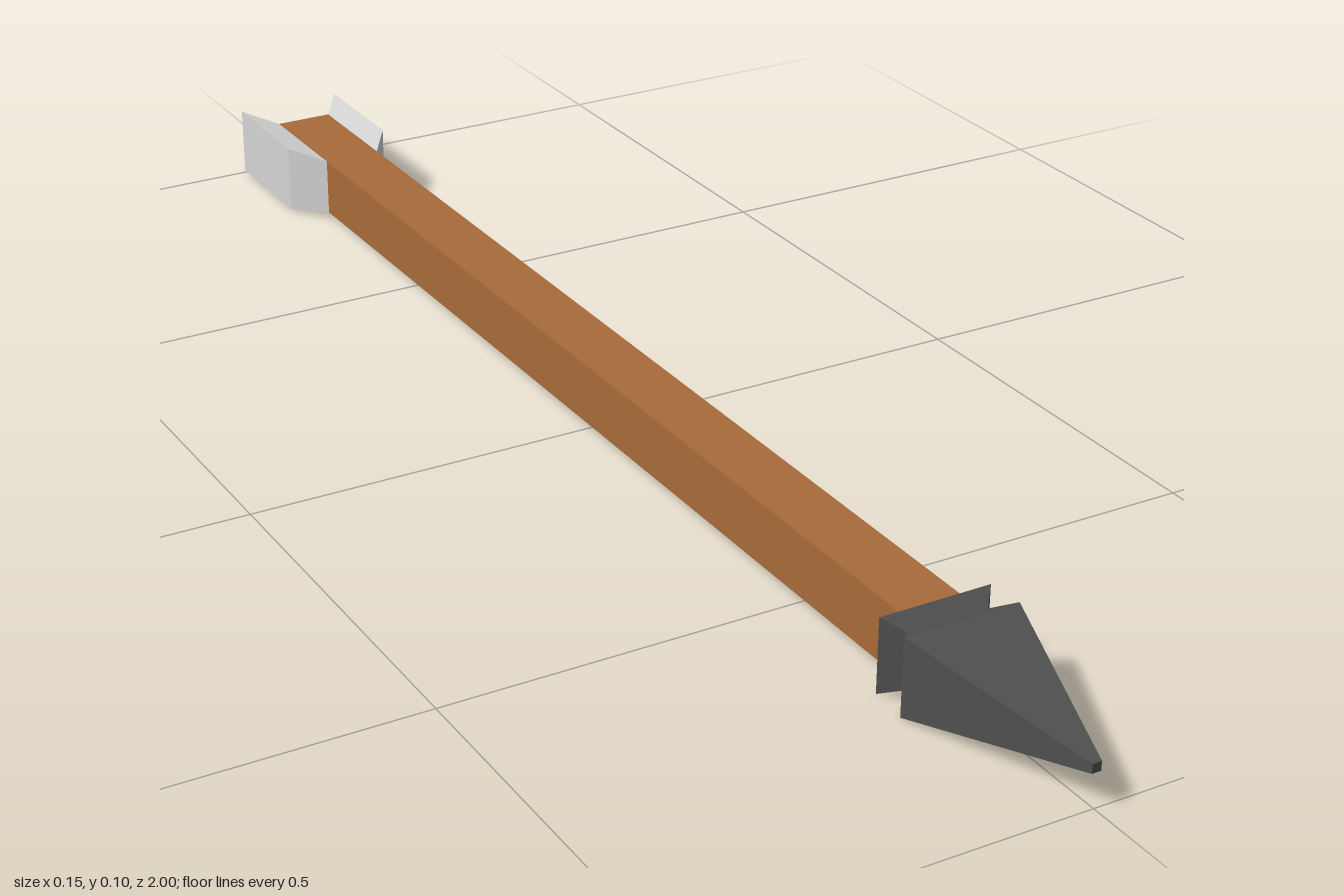
import * as THREE from 'three';

const MID = 0.05; // height of the arrow's axis

// Closed loft through rectangles [z, halfWidth, halfHeight], listed back to front
function rectLoft(sections) {
  const pos = [];
  const rings = sections.map(([z, w, h]) => [[-w, -h, z], [w, -h, z], [w, h, z], [-w, h, z]]);
  const quad = (a, b, c, d) => pos.push(...a, ...b, ...c, ...a, ...c, ...d);
  for (let i = 0; i < rings.length - 1; i++) {
    for (let k = 0; k < 4; k++) {
      const n = (k + 1) % 4;
      quad(rings[i][k], rings[i][n], rings[i + 1][n], rings[i + 1][k]);
    }
  }
  const back = rings[0], front = rings[rings.length - 1];
  quad(back[3], back[2], back[1], back[0]);
  quad(front[0], front[1], front[2], front[3]);
  const g = new THREE.BufferGeometry();
  g.setAttribute('position', new THREE.Float32BufferAttribute(pos, 3));
  g.computeVertexNormals();
  return g;
}

// Swept-back vane: an extruded outline that grows taller away from the shaft
function vaneGeometry(side) {
  const inner = 0.04, outer = 0.076;
  const shape = new THREE.Shape([
    new THREE.Vector2(side * inner, 0.775),
    new THREE.Vector2(side * outer, 0.83),
    new THREE.Vector2(side * outer, 1.0),
    new THREE.Vector2(side * inner, 0.945),
  ]);
  const g = new THREE.ExtrudeGeometry(shape, { depth: 1, bevelEnabled: false });
  g.translate(0, 0, -0.5);
  g.rotateX(-Math.PI / 2); // outline y becomes -z, depth becomes y
  const p = g.attributes.position;
  for (let i = 0; i < p.count; i++) {
    const height = Math.abs(p.getX(i)) > 0.06 ? 0.095 : 0.08;
    p.setY(i, p.getY(i) * height);
  }
  g.computeVertexNormals();
  return g;
}

export function createModel() {
  const model = new THREE.Group();
  model.name = 'arrow';
  const material = (name, color) => {
    const m = new THREE.MeshStandardMaterial({ color });
    m.name = name;
    return m;
  };
  const wood = material('wood', 0xa86b3a);
  const metal = material('darkMetal', 0x505050);
  const feather = material('feather', 0xd4d4d4);

  const add = (name, geometry, mat) => {
    const mesh = new THREE.Mesh(geometry, mat);
    mesh.name = name;
    mesh.position.y = MID;
    model.add(mesh);
  };

  // Square shaft
  add('shaft', rectLoft([[-0.945, 0.04, 0.04], [0.715, 0.04, 0.04]]), wood);

  // Head: flared collar, pinched neck, long tapering point
  add('head', rectLoft([
    [0.71, 0.073, 0.048],
    [0.735, 0.052, 0.036],
    [0.76, 0.075, 0.05],
    [1.0, 0.006, 0.006],
  ]), metal);

  // Vanes on both sides of the tail
  add('leftVane', vaneGeometry(1), feather);
  add('rightVane', vaneGeometry(-1), feather);

  return model;
}
